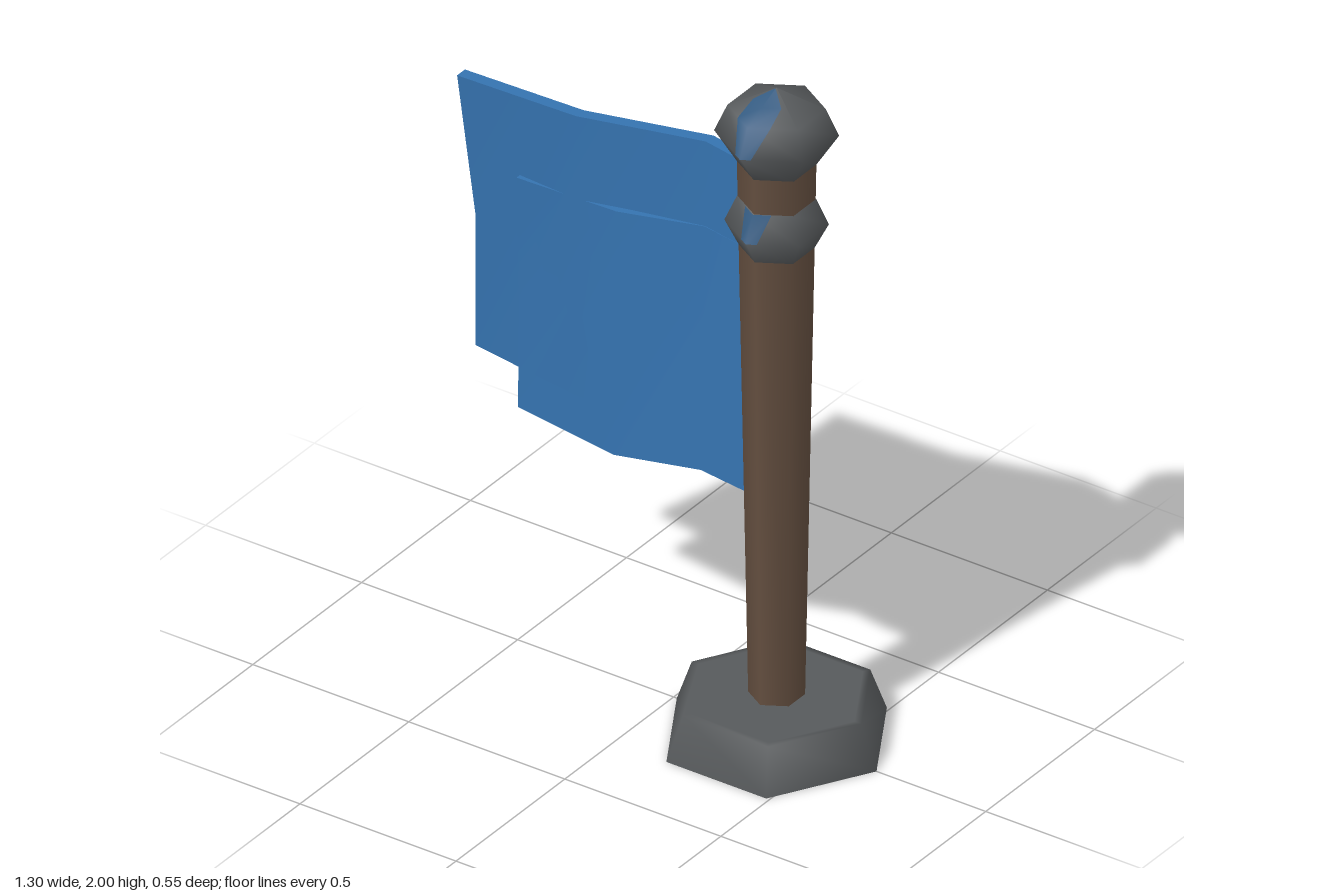
import * as THREE from 'three';

const mat = (name, color) => {
  const m = new THREE.MeshStandardMaterial({ color });
  m.name = name;
  return m;
};

export function createModel() {
  const stone = mat('grey stone', 0x575a5c);
  const wood = mat('brown wood', 0x634e3f);
  const cloth = mat('blue cloth', 0x3573b0);
  const stain = mat('dull blue', 0x335a80);

  const model = new THREE.Group();
  model.name = 'flagpole';
  const post = new THREE.Group();
  post.name = 'post';
  post.position.x = 0.33;
  model.add(post);

  const add = (parent, name, geometry, material) => {
    const mesh = new THREE.Mesh(geometry, material);
    mesh.name = name;
    parent.add(mesh);
    return mesh;
  };

  // Six-sided turned part from [radius, height] pairs, bottom to top
  const turned = (name, profile, material) =>
    add(post, name, new THREE.LatheGeometry(profile.map(p => new THREE.Vector2(...p)), 6), material);

  const base = turned('base', [[0, 0], [0.3, 0], [0.32, 0], [0.272, 0.13], [0.25, 0.13], [0, 0.13]], stone);
  base.rotation.y = Math.PI / 6;
  turned('pole', [[0.075, 0.12], [0.105, 1.77]], wood);
  turned('collar', [[0.09, 1.51], [0.1, 1.51], [0.138, 1.585], [0.105, 1.66], [0.09, 1.66]], stone);
  turned('finial', [[0.08, 1.76], [0.1, 1.76], [0.165, 1.86], [0.13, 1.94], [0, 2]], stone);

  // Thin painted patch folded over the front corner; rows are [height, radius, half width]
  const patch = (name, rows) => {
    const pos = [], index = [];
    rows.forEach(([y, r, h], i) => {
      for (const s of [-1, 0, 1]) pos.push(s * h, y + 0.002, r - Math.abs(s) * h * 0.577 + 0.004);
      if (i === 0) return;
      for (let c = 0; c < 2; c++) {
        const a = (i - 1) * 3 + c, b = i * 3 + c;
        index.push(a, a + 1, b + 1, a, b + 1, b);
      }
    });
    const g = new THREE.BufferGeometry();
    g.setAttribute('position', new THREE.Float32BufferAttribute(pos, 3));
    g.setIndex(index);
    g.computeVertexNormals();
    add(post, name, g, stain);
  };
  patch('finialPatch', [[1.86, 0.165, 0.025], [1.94, 0.13, 0.052], [1.97, 0.065, 0.045], [1.998, 0.004, 0.002]]);
  patch('collarPatch', [[1.585, 0.138, 0.025], [1.66, 0.105, 0.042]]);

  // Waving sheet: a thin box bent by columns (x, z at top, z at bottom) and rows (y, end shift)
  const sheet = (name, columns, rows, thickness) => {
    const g = new THREE.BoxGeometry(1, 1, 1, columns.length - 1, rows.length - 1, 1);
    const p = g.attributes.position;
    for (let i = 0; i < p.count; i++) {
      const u = p.getX(i) + 0.5, v = p.getY(i) + 0.5;
      const [x, zTop, zBottom] = columns[Math.round(u * (columns.length - 1))];
      const [y, shift] = rows[Math.round(v * (rows.length - 1))];
      p.setXYZ(i, x + (u < 0.01 ? shift : 0), y + (1 - u) * 0.008 * (v > 0.5 ? 1 : 0.8),
        THREE.MathUtils.lerp(zBottom, zTop, v) + p.getZ(i) * thickness);
    }
    g.computeVertexNormals();
    add(model, name, g, cloth);
  };
  sheet('backSheet',
    [[-0.65, 0.045, -0.04], [-0.28, 0.03, 0.015], [0.07, -0.065, -0.055], [0.27, -0.03, -0.03]],
    [[0.84, 0], [1.27, 0.03], [1.715, 0]], 0.036);
  sheet('frontSheet',
    [[-0.5, 0.03, -0.02], [-0.16, 0.015, 0.03], [0.07, -0.06, -0.042], [0.27, -0.028, -0.018]],
    [[0.712, 0], [1.09, 0.02], [1.455, 0.03]], 0.036);

  return model;
}
